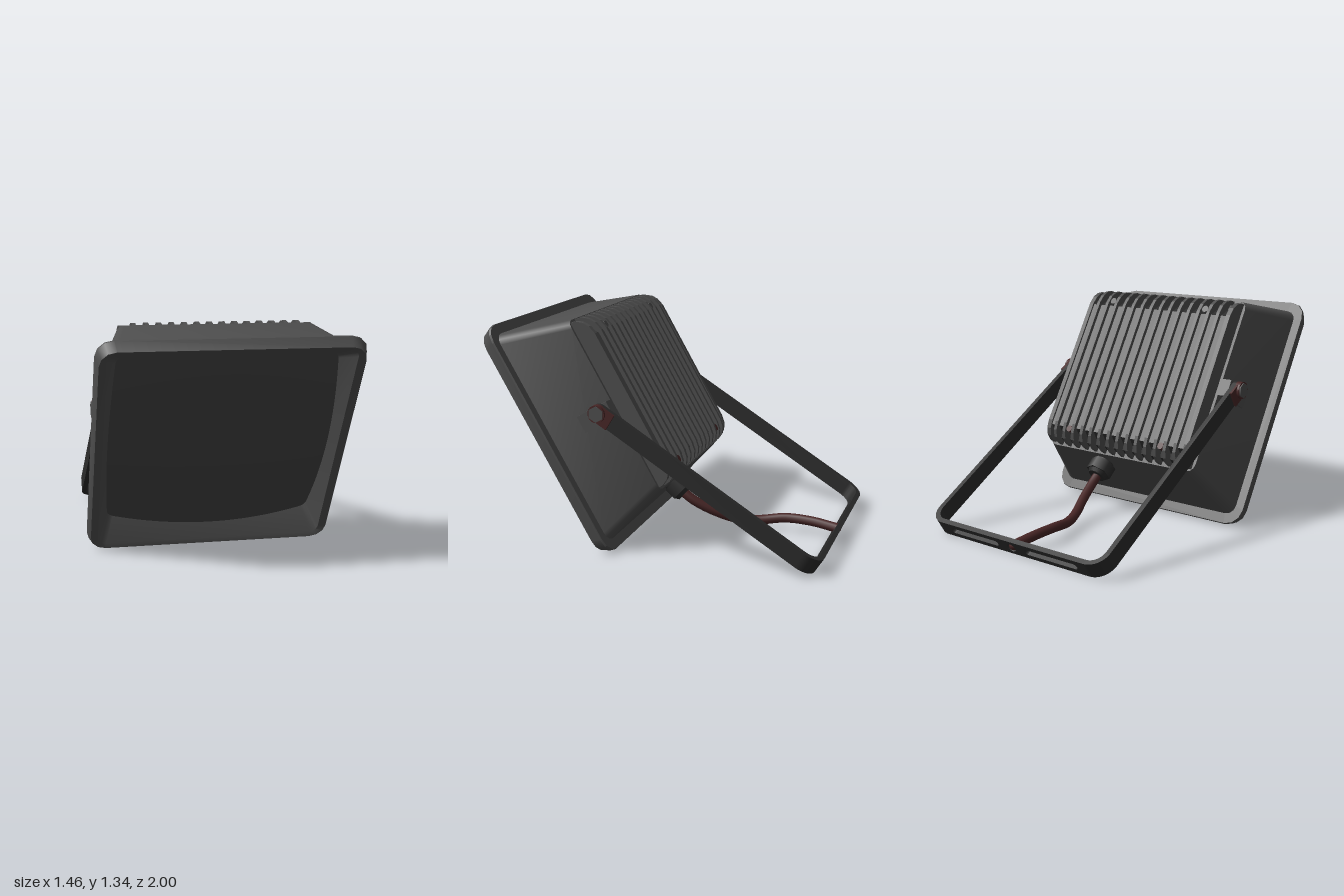
import * as THREE from 'three';
import { toCreasedNormals } from 'three/addons/utils/BufferGeometryUtils.js';

const material = (name, color) => new THREE.MeshStandardMaterial({ name, color });

// Points of a rounded rectangle, counter-clockwise
function ring(hx, hy, r, z, seg = 3) {
  const pts = [];
  [[1, 1], [-1, 1], [-1, -1], [1, -1]].forEach(([sx, sy], q) => {
    for (let i = 0; i <= seg; i++) {
      const a = (q + i / seg) * Math.PI / 2;
      pts.push(sx * (hx - r) + r * Math.cos(a), sy * (hy - r) + r * Math.sin(a), z);
    }
  });
  return pts;
}

// Skin through rounded rectangles, closed at the last one
function loft(sections) {
  const pos = sections.flatMap((s) => ring(...s));
  const n = pos.length / 3 / sections.length, index = [];
  for (let k = 0; k < sections.length - 1; k++) {
    for (let j = 0; j < n; j++) {
      const a = k * n + j, b = k * n + (j + 1) % n;
      index.push(a, a + n, b + n, a, b + n, b);
    }
  }
  const last = (sections.length - 1) * n;
  for (let j = 1; j < n - 1; j++) index.push(last, last + j + 1, last + j);
  const g = new THREE.BufferGeometry();
  g.setAttribute('position', new THREE.Float32BufferAttribute(pos, 3));
  g.setIndex(index);
  return toCreasedNormals(g, 0.5);
}

// Side profile given as [y, z], extruded along x and centred on x
function profile(points, width, x) {
  const shape = new THREE.Shape(points.map(([y, z]) => new THREE.Vector2(-z, y)));
  return new THREE.ExtrudeGeometry(shape, { depth: width, bevelEnabled: false })
    .rotateY(Math.PI / 2).translate(x - width / 2, 0, 0);
}

export function createModel() {
  const housingMat = material('housing grey', 0x4f4f4f);
  const glassMat = material('lens grey', 0x454545);
  const darkMat = material('bracket black', 0x2c2c2c);
  const redMat = material('cable brown', 0x482626);

  const model = new THREE.Group();
  model.name = 'floodlight';
  const add = (parent, name, geometry, mat) => {
    const m = new THREE.Mesh(geometry, mat);
    m.name = name;
    parent.add(m);
    return m;
  };

  // Lamp head, tilted down; its front plane is local z = 0
  const head = new THREE.Group();
  head.name = 'lampHead';
  head.position.set(0, 0.6225, 0.6425);
  head.rotation.x = Math.PI / 6;
  model.add(head);

  // Sloping inner wall, rim and tapered shell
  add(head, 'housing', loft([
    [0.588, 0.545, 0.03, -0.17],
    [0.67, 0.69, 0.05, -0.014],
    [0.712, 0.7135, 0.09, 0],
    [0.73, 0.738, 0.1, -0.065],
    [0.728, 0.735, 0.1, -0.077],
    [0.675, 0.675, 0.06, -0.077],
    [0.568, 0.548, 0.05, -0.47],
  ]), housingMat);

  // Bulged lens, its edge lying on the inner wall
  const lens = new THREE.PlaneGeometry(2, 2, 24, 24);
  const p = lens.attributes.position;
  for (let i = 0; i < p.count; i++) {
    const s = p.getX(i), t = p.getY(i);
    p.setXYZ(i, s * (0.637 - 0.027 * t * t), t * (0.63 - 0.043 * s * s),
      -0.03 - 0.055 * (s * s + t * t));
  }
  lens.computeVertexNormals();
  add(head, 'lens', lens, glassMat);

  // Heat sink: floor, dark groove ends, ribs and side plates
  add(head, 'heatSinkFloor',
    new THREE.BoxGeometry(1.08, 0.85, 0.1).translate(0, -0.015, -0.515), housingMat);
  for (const [s, flat] of [[1, 0.41], [-1, 0.44]]) {
    const end = [[0.52, -0.46], [0.505, -0.505], [0.47, -0.515], [flat, -0.565], [flat, -0.46]];
    const pts = end.map(([y, z]) => [s * y, z]);
    add(head, 'grooveEnd', profile(pts, 1.08, 0), darkMat);
  }
  const rib = [[0.548, -0.46], [0.533, -0.515], [0.508, -0.55], [0.472, -0.574], [0.42, -0.587],
    [-0.42, -0.588], [-0.475, -0.578], [-0.515, -0.55], [-0.535, -0.51], [-0.542, -0.46]];
  for (let i = 0; i < 14; i++) {
    add(head, 'rib', profile(rib, 0.022, (i - 6.5) * 0.072), housingMat);
  }
  const plate = rib.map(([y, z]) => [y * 0.985, z + 0.012]);
  for (const s of [1, -1]) add(head, 'sidePlate', profile(plate, 0.03, s * 0.535), housingMat);

  // Rear cover screws
  for (const x of [-0.36, 0.36]) {
    for (const y of [-0.45, 0.44]) {
      add(head, 'coverScrew', new THREE.CylinderGeometry(0.021, 0.021, 0.07, 12)
        .rotateX(Math.PI / 2).translate(x, y, -0.542), y < 0 ? redMat : housingMat);
    }
  }

  // Pivot bosses on the sides
  for (const s of [1, -1]) {
    add(head, 'pivotBoss',
      new THREE.BoxGeometry(0.08, 0.104, 0.21).translate(s * 0.588, -0.005, -0.365), housingMat);
  }

  // U-shaped bracket; local -z runs along the arms from the pivot
  const bracket = new THREE.Group();
  bracket.name = 'bracket';
  bracket.position.set(0, 0.836, 0.296);
  bracket.rotation.x = -0.553;
  model.add(bracket);
  const L = 1.492, W = 0.1, T = 0.03;

  const arm = new THREE.Shape();
  arm.moveTo(0.63, 0);
  arm.lineTo(0.66, 0);
  arm.lineTo(0.66, L - 0.11);
  arm.absarc(0.55, L - 0.11, 0.11, 0, Math.PI / 2, false);
  arm.lineTo(0.55, L - T);
  arm.absarc(0.55, L - 0.11, 0.11 - T, Math.PI / 2, 0, true);
  const armGeo = toCreasedNormals(
    new THREE.ExtrudeGeometry(arm, { depth: W, bevelEnabled: false, curveSegments: 8 })
      .rotateX(-Math.PI / 2).translate(0, -W / 2, 0), 0.5);
  for (const s of [1, -1]) {
    add(bracket, 'bracketArm', armGeo, darkMat).rotation.z = s > 0 ? 0 : Math.PI;
    const disc = (r, h, x, sides) =>
      new THREE.CylinderGeometry(r, r, h, sides).rotateZ(Math.PI / 2).translate(s * x, 0, 0);
    add(bracket, 'armEnd', disc(W / 2, T, 0.645, 20), darkMat);
    add(bracket, 'pivotWasher', disc(0.051, 0.036, 0.67, 20), redMat);
    add(bracket, 'washerTab',
      new THREE.BoxGeometry(0.02, 0.1, 0.09).translate(s * 0.664, 0, -0.045), redMat);
    add(bracket, 'pivotBolt', disc(0.047, 0.008, 0.69, 6), housingMat);
  }

  // Cross bar with two slots and a cable hole
  const bar = new THREE.Shape([[-0.55, -W / 2], [0.55, -W / 2], [0.55, W / 2], [-0.55, W / 2]]
    .map(([x, y]) => new THREE.Vector2(x, y)));
  for (const s of [1, -1]) {
    const slot = new THREE.Path(), r = 0.02;
    slot.absarc(s * 0.295 + 0.172, 0, r, -Math.PI / 2, Math.PI / 2, false);
    slot.absarc(s * 0.295 - 0.172, 0, r, Math.PI / 2, Math.PI * 1.5, false);
    slot.closePath();
    bar.holes.push(slot);
  }
  bar.holes.push(new THREE.Path().absarc(0, 0, 0.03, 0, Math.PI * 2, false));
  add(bracket, 'crossBar',
    new THREE.ExtrudeGeometry(bar, { depth: T, bevelEnabled: false, curveSegments: 8 })
      .translate(0, 0, -L), darkMat);

  // Cable gland on the underside
  const gland = new THREE.Group();
  gland.name = 'cableGland';
  gland.position.set(0.16, 0.325, 0.045);
  gland.quaternion.setFromUnitVectors(new THREE.Vector3(0, 1, 0),
    new THREE.Vector3(0, -0.66, -0.75).normalize());
  model.add(gland);
  add(gland, 'glandCollar',
    new THREE.CylinderGeometry(0.065, 0.065, 0.09, 16).translate(0, 0.02, 0), darkMat);
  add(gland, 'glandNut',
    new THREE.CylinderGeometry(0.083, 0.083, 0.075, 6).translate(0, 0.07, 0), darkMat);
  add(gland, 'glandCap',
    new THREE.CylinderGeometry(0.055, 0.07, 0.025, 16).translate(0, 0.118, 0), darkMat);

  // Cable from gland to cross bar
  const path = new THREE.CatmullRomCurve3([
    [0.16, 0.26, -0.02], [0.155, 0.2, -0.1], [0.125, 0.135, -0.22], [0.07, 0.08, -0.36],
    [0.025, 0.07, -0.48], [-0.015, 0.088, -0.64], [-0.018, 0.085, -0.8], [-0.005, 0.066, -0.957],
  ].map((v) => new THREE.Vector3(...v)));
  add(model, 'cable', new THREE.TubeGeometry(path, 48, 0.029, 12), redMat);
  add(model, 'cableTip',
    new THREE.SphereGeometry(0.029, 12, 8).translate(-0.005, 0.066, -0.957), redMat);

  return model;
}
